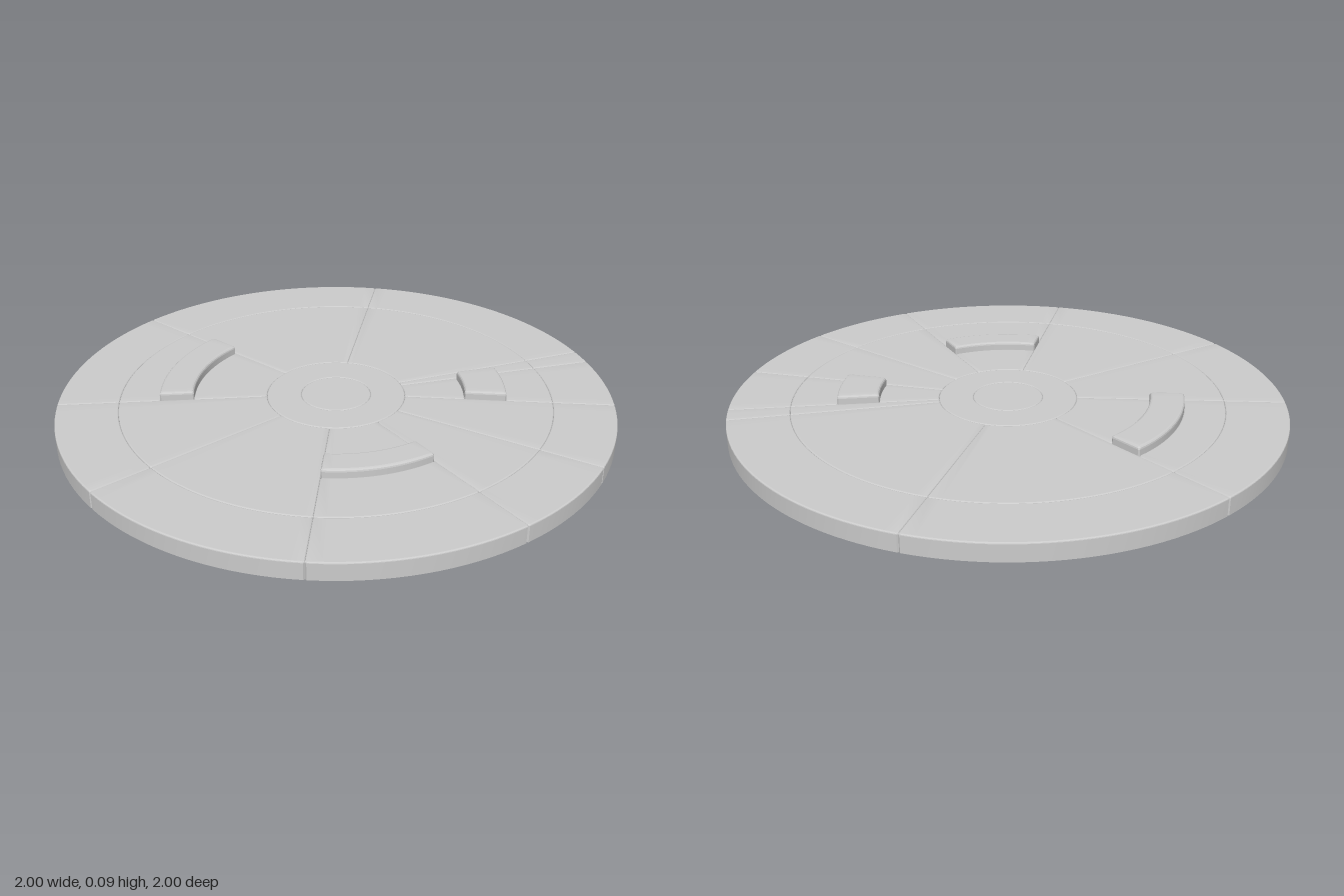
import * as THREE from 'three';
import { toCreasedNormals } from 'three/addons/utils/BufferGeometryUtils.js';

const TOP = 0.064, RAISED = 0.094;   // heights of plates and raised blocks
const OVERLAP = 0.0004;              // neighbouring plates touch, closing the seams
const CHAMFER = 0.005;               // cut of the plan corners
const CREASE = 0.25;
const material = new THREE.MeshStandardMaterial({ color: 0xcccccc, side: THREE.DoubleSide });

// rounded rim: [inset, height] from the foot of the wall to the top face
function rim(top, bevel) {
  const steps = [[-OVERLAP, 0]];
  for (let i = 0; i <= 3; i++) {
    const t = (i / 3) * Math.PI / 2;
    steps.push([bevel * (1 - Math.cos(t)) - OVERLAP, top - bevel * (1 - Math.sin(t))]);
  }
  return steps;
}

// open-bottomed plate between two radii and two angles (degrees, seen from above)
function sectorPlate(r0, r1, deg0, deg1, top = TOP, bevel = 0.005) {
  const n = Math.max(3, Math.ceil((deg1 - deg0) / 2.5));
  const a0 = THREE.MathUtils.degToRad(deg0), a1 = THREE.MathUtils.degToRad(deg1);
  const positions = [], index = [];

  // one edge arc with chamfered ends, kept parallel to the spokes
  const arc = (r, inward, inset, y) => {
    const points = [];
    const add = (radius, a) => points.push([radius * Math.cos(a), y, -radius * Math.sin(a)]);
    const rEnd = r + inward * CHAMFER;
    add(rEnd, a0 + Math.asin(inset / rEnd));
    const cut = Math.asin((inset + CHAMFER) / r);
    for (let i = 0; i <= n; i++) add(r, THREE.MathUtils.lerp(a0 + cut, a1 - cut, i / n));
    add(rEnd, a1 - Math.asin(inset / rEnd));
    return points;
  };

  const loops = rim(top, bevel);
  const half = n + 3, count = half * 2;
  for (const [inset, y] of loops) {
    const outer = arc(r1 - inset, -1, inset, y);
    const inner = arc(r0 + inset, 1, inset, y).reverse();
    for (const p of [...outer, ...inner]) positions.push(...p);
  }
  const quad = (a, b, c, d) => index.push(a, b, c, a, c, d);

  // walls and rounded rim
  for (let k = 0; k < loops.length - 1; k++) {
    for (let i = 0; i < count; i++) {
      const j = (i + 1) % count;
      quad(k * count + i, k * count + j, (k + 1) * count + j, (k + 1) * count + i);
    }
  }
  // top face
  const base = (loops.length - 1) * count;
  for (let i = 0; i < half - 1; i++) {
    quad(base + count - 1 - i, base + i, base + i + 1, base + count - 2 - i);
  }

  const geometry = new THREE.BufferGeometry();
  geometry.setAttribute('position', new THREE.Float32BufferAttribute(positions, 3));
  geometry.setIndex(index);
  return toCreasedNormals(geometry, CREASE);
}

// full round plate, with a hole when r0 > 0
function roundPlate(r0, r1) {
  const steps = rim(TOP, 0.005);
  const profile = steps.map(([d, y]) => new THREE.Vector2(r1 - d, y));
  if (r0 > 0) {
    for (const [d, y] of [...steps].reverse()) profile.push(new THREE.Vector2(r0 + d, y));
  } else {
    profile.push(new THREE.Vector2(0, TOP));
  }
  return toCreasedNormals(new THREE.LatheGeometry(profile, 96), CREASE);
}

export function createModel() {
  const model = new THREE.Group();
  model.name = 'segmentedDisc';
  const add = (name, geometry) => {
    const mesh = new THREE.Mesh(geometry, material);
    mesh.name = name;
    model.add(mesh);
  };

  const HUB = 0.126, COLLAR = 0.25, RING = 0.78, EDGE = 1 - OVERLAP;
  add('hub', roundPlate(0, HUB));
  add('hubCollar', roundPlate(HUB, COLLAR));

  // spoke angles, and the radii of the raised block in some sectors
  const spokes = [5, 25, 30, 90, 150, 195, 230, 275, 315, 340, 365];
  const blocks = { 5: [0.465, 0.615], 150: [0.513, 0.635], 275: [0.46, 0.562] };

  for (let i = 0; i < spokes.length - 1; i++) {
    const from = spokes[i], to = spokes[i + 1];
    add('outerRingSegment', sectorPlate(RING, EDGE, from, to));
    const block = blocks[from];
    if (block) {
      add('innerSegment', sectorPlate(COLLAR, block[0], from, to));
      add('raisedBlock', sectorPlate(block[0], block[1], from, to, RAISED, 0.01));
      add('middleSegment', sectorPlate(block[1], RING, from, to));
    } else {
      add('sectorSegment', sectorPlate(COLLAR, RING, from, to));
    }
  }
  return model;
}
